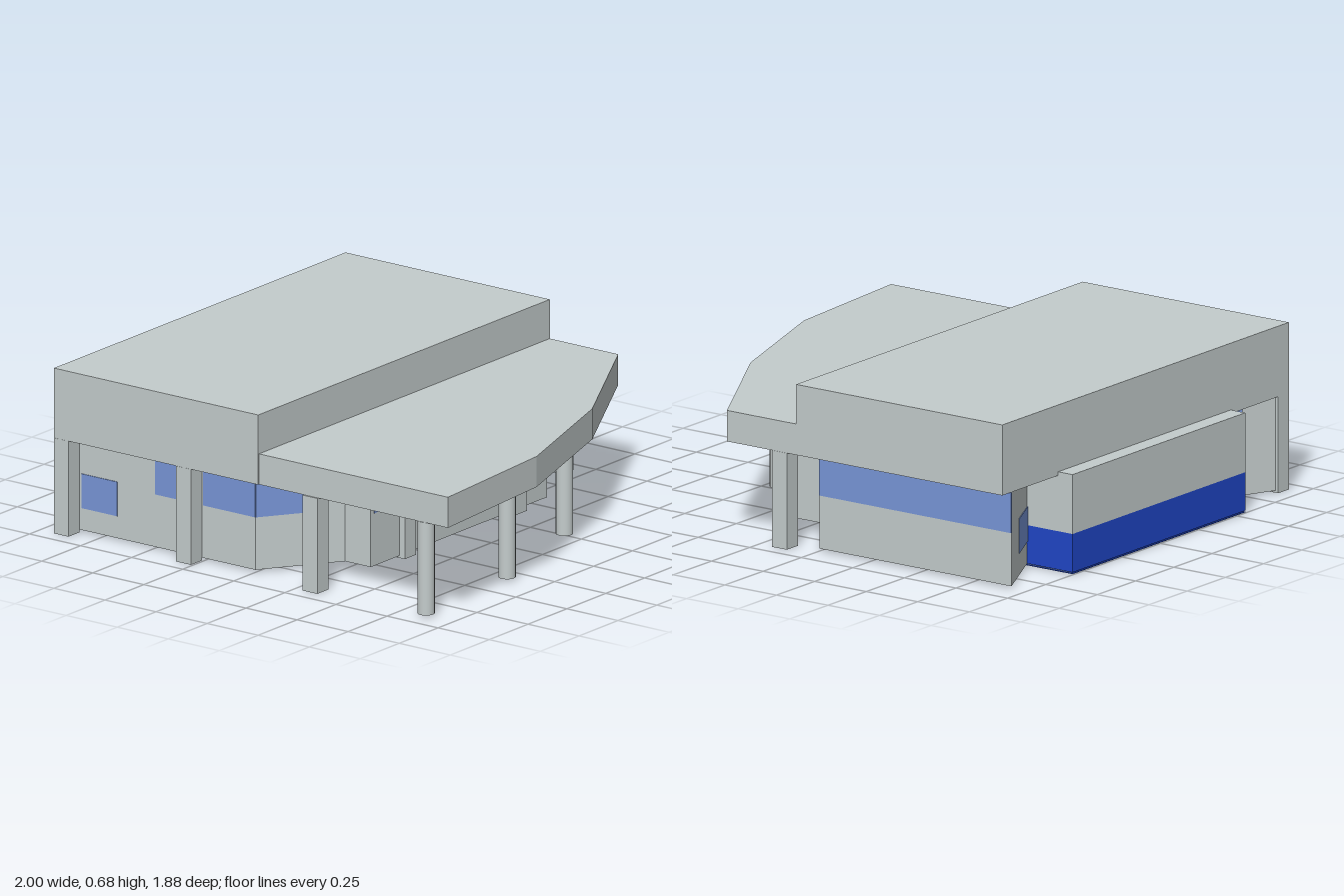
import * as THREE from 'three';

const mat = (name, color) => {
  const m = new THREE.MeshStandardMaterial({ color });
  m.name = name;
  return m;
};

export function createModel() {
  const model = new THREE.Group();
  model.name = 'pavilion';
  const concrete = mat('pale grey concrete', 0xc4cccc);
  const glass = mat('light blue glass', 0x7896d8);
  const blue = mat('deep blue', 0x2046c6);

  const add = (name, geo, material) => {
    const mesh = new THREE.Mesh(geo, material);
    mesh.name = name;
    model.add(mesh);
    return mesh;
  };
  // Box given by its limits on each axis
  const box = (name, material, x0, x1, y0, y1, z0, z1) =>
    add(name, new THREE.BoxGeometry(x1 - x0, y1 - y0, z1 - z0), material)
      .position.set((x0 + x1) / 2, (y0 + y1) / 2, (z0 + z1) / 2);
  // Prism rising from a plan outline of [x, z] points
  const prism = (name, material, plan, y0, y1) => {
    const shape = new THREE.Shape(plan.map(([x, z]) => new THREE.Vector2(x, -z)));
    const geo = new THREE.ExtrudeGeometry(shape, { depth: y1 - y0, bevelEnabled: false });
    geo.rotateX(-Math.PI / 2);
    add(name, geo, material).position.y = y0;
  };
  // Thin plate lying on a wall between two plan points
  const plate = (name, [xa, za], [xb, zb], y0, y1) => {
    const length = Math.hypot(xb - xa, zb - za);
    const mesh = add(name, new THREE.BoxGeometry(length, y1 - y0, 0.006), glass);
    mesh.position.set((xa + xb) / 2, (y0 + y1) / 2, (za + zb) / 2);
    mesh.rotation.y = -Math.atan2(zb - za, xb - xa);
  };

  // Roofs: tall slab and lower canopy with a faceted curved edge
  const eaves = 0.39, floor = 0.01;
  box('upperRoof', concrete, -0.93, 0.07, eaves, 0.675, -0.94, 0.935);
  prism('canopy', concrete, [
    [0.07, -0.94], [0.405, -0.94], [0.75, -0.32], [0.95, 0.3], [0.995, 0.93], [0.07, 0.93],
  ], eaves, 0.515);

  // Room with splayed corners
  prism('room', concrete, [
    [-0.92, 0.86], [0, 0.86], [0.21, 0.56], [0.335, 0.56], [0.335, -0.575], [0.21, -0.575],
    [0, -0.88], [-0.93, -0.88], [-0.78, -0.575], [-0.78, 0.555],
  ], floor, eaves);

  // Side bay with a blue base
  box('sideBay', concrete, -1, -0.78, 0.165, 0.405, -0.575, 0.555);
  box('sideBayBase', blue, -1, -0.78, floor, 0.165, -0.575, 0.555);

  // Tinted underside
  prism('floorTint', glass, [
    [-0.99, -0.57], [-0.76, -0.57], [-0.2, -0.64], [-0.02, -0.64], [0.06, -0.45], [0.06, 0.45],
    [-0.05, 0.64], [-0.3, 0.75], [-0.86, 0.78], [-0.78, 0.55], [-0.99, 0.55],
  ], 0.006, floor);
  prism('floorPanel', blue, [
    [-1, -0.575], [-0.12, -0.58], [-0.05, -0.48], [-0.06, 0.42], [-0.2, 0.6],
    [-0.5, 0.67], [-0.81, 0.66], [-0.78, 0.555], [-1, 0.555],
  ], 0.003, 0.006);

  // Windows: [start, end, bottom, top]
  const sill = 0.225;
  [
    [[-0.85, 0.86], [-0.675, 0.86], 0.1, 0.24],
    [[-0.49, 0.86], [-0.335, 0.86], sill, eaves],
    [[-0.255, 0.86], [0, 0.86], sill, eaves],
    [[0, 0.86], [0.17, 0.617], sill, eaves],
    [[0.335, 0.54], [0.335, 0.37], sill, eaves],
    [[0.335, 0.305], [0.335, 0.27], 0.24, 0.315],
    [[0.335, -0.305], [0.335, -0.34], 0.24, 0.315],
    [[0.335, -0.41], [0.335, -0.55], sill, eaves],
    [[0.21, -0.575], [0, -0.88], sill, eaves],
    [[0, -0.88], [-0.93, -0.88], sill, eaves],
    [[-0.86, 0.723], [-0.78, 0.555], sill, eaves],
    [[-0.86, -0.738], [-0.78, -0.575], 0.1, 0.24],
  ].forEach(([a, b, y0, y1]) => plate('window', a, b, y0, y1));

  // Square posts
  const half = 0.036;
  [[-0.894, 0.9], [-0.295, 0.9], [0.324, 0.9], [0.324, 0.337], [0.324, -0.375], [0.15, -0.905]]
    .forEach(([x, z]) =>
      box('squarePost', concrete, x - half, x + half, 0, eaves, z - half, z + half));

  // Round columns under the canopy edge
  [[0.865, 0.9], [0.833, 0.337], [0.672, -0.243]].forEach(([x, z]) => {
    const geo = new THREE.CylinderGeometry(0.034, 0.034, eaves - floor, 20);
    add('roundColumn', geo, concrete).position.set(x, (eaves + floor) / 2, z);
  });

  return model;
}
